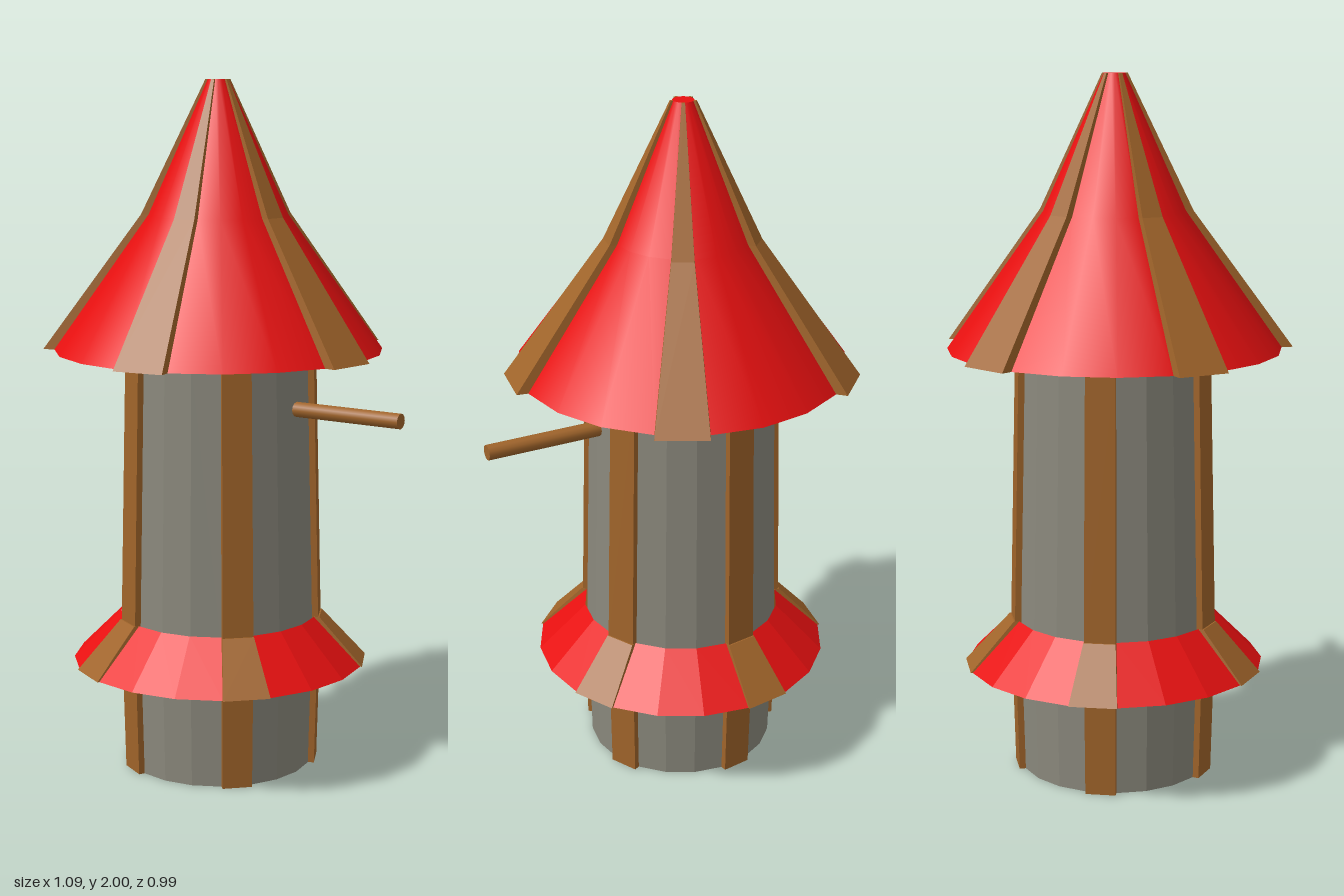
import * as THREE from 'three';

const SIDES = 20, STEP = (Math.PI * 2) / SIDES;
const RED = 0xe81010, WOOD = 0xa0642a, STONE = 0x8a887c;

// Profiles as [radius, height, batten thickness], bottom to top
const WALL = [[0.275, 0, 0.018], [0.285, 0.42, 0.018], [0.265, 1.235, 0.018]];
const SKIRT = [[0.43, 0.31, 0.006], [0.29, 0.45, 0.016]];
const ROOF = [[0.475, 1.232, 0.033], [0.2, 1.62, 0.022], [0.03, 2, 0.007]];

function mesh(name, geometry, color, flatShading = true) {
  const m = new THREE.Mesh(geometry, new THREE.MeshStandardMaterial({ color, flatShading }));
  m.name = name;
  return m;
}

// Twenty-sided surface of revolution
function turned(points) {
  return new THREE.LatheGeometry(points.map(([r, y]) => new THREE.Vector2(r, y)), SIDES);
}

function disc(radius, y, up) {
  const g = new THREE.CircleGeometry(radius, SIDES);
  g.rotateX(up ? -Math.PI / 2 : Math.PI / 2);
  g.translate(0, y, 0);
  return g;
}

// Solid batten lying on one facet: four corners at each level of the profile
function battenGeometry(profile, facet) {
  const a0 = facet * STEP, a1 = a0 + STEP, mid = a0 + STEP / 2;
  const pos = [], index = [];
  for (const [r, y, t] of profile) {
    for (const [a, out] of [[a0, 0], [a0, t], [a1, t], [a1, 0]]) {
      pos.push(Math.cos(a) * r + Math.cos(mid) * out, y, Math.sin(a) * r + Math.sin(mid) * out);
    }
  }
  for (let i = 0; i < profile.length - 1; i++) {
    for (let k = 0; k < 4; k++) {
      const a = i * 4 + k, b = i * 4 + ((k + 1) % 4);
      index.push(a, a + 4, b, b, a + 4, b + 4);
    }
  }
  const e = (profile.length - 1) * 4;
  index.push(0, 1, 2, 0, 2, 3, e, e + 2, e + 1, e, e + 3, e + 2);
  const g = new THREE.BufferGeometry();
  g.setAttribute('position', new THREE.Float32BufferAttribute(pos, 3));
  g.setIndex(index);
  g.computeVertexNormals();
  return g;
}

// Five battens, one on every fourth facet
function battens(name, profile, firstFacet) {
  const group = new THREE.Group();
  group.name = name;
  for (let i = 0; i < 5; i++) {
    group.add(mesh(name + (i + 1), battenGeometry(profile, firstFacet + i * 4), WOOD));
  }
  return group;
}

export function createModel() {
  const model = new THREE.Group();
  model.name = 'tower';

  const tower = new THREE.Group();
  tower.name = 'towerBody';
  tower.position.set(-0.065, 0, -0.018);
  model.add(tower);

  // Stone wall with wooden posts
  tower.add(mesh('wall', turned([[0, 0], ...WALL]), STONE));
  tower.add(battens('wallPost', WALL, 2));

  // Flared lower skirt
  tower.add(mesh('skirt', turned(SKIRT), RED));
  tower.add(mesh('skirtUnderside', disc(0.43, 0.31, false), RED));
  tower.add(battens('skirtRib', SKIRT, 2));

  // Concave pointed roof
  tower.add(mesh('roof', turned(ROOF), RED, false));
  tower.add(mesh('roofUnderside', disc(0.475, 1.232, false), RED));
  tower.add(mesh('roofTip', disc(0.03, 2, true), RED));
  tower.add(battens('roofRib', ROOF, 0));

  // Side peg
  const peg = mesh('peg', new THREE.CylinderGeometry(0.022, 0.022, 0.36, 12), WOOD, false);
  peg.rotation.z = Math.PI / 2;
  peg.position.set(0.36, 1.08, -0.02);
  model.add(peg);

  return model;
}
